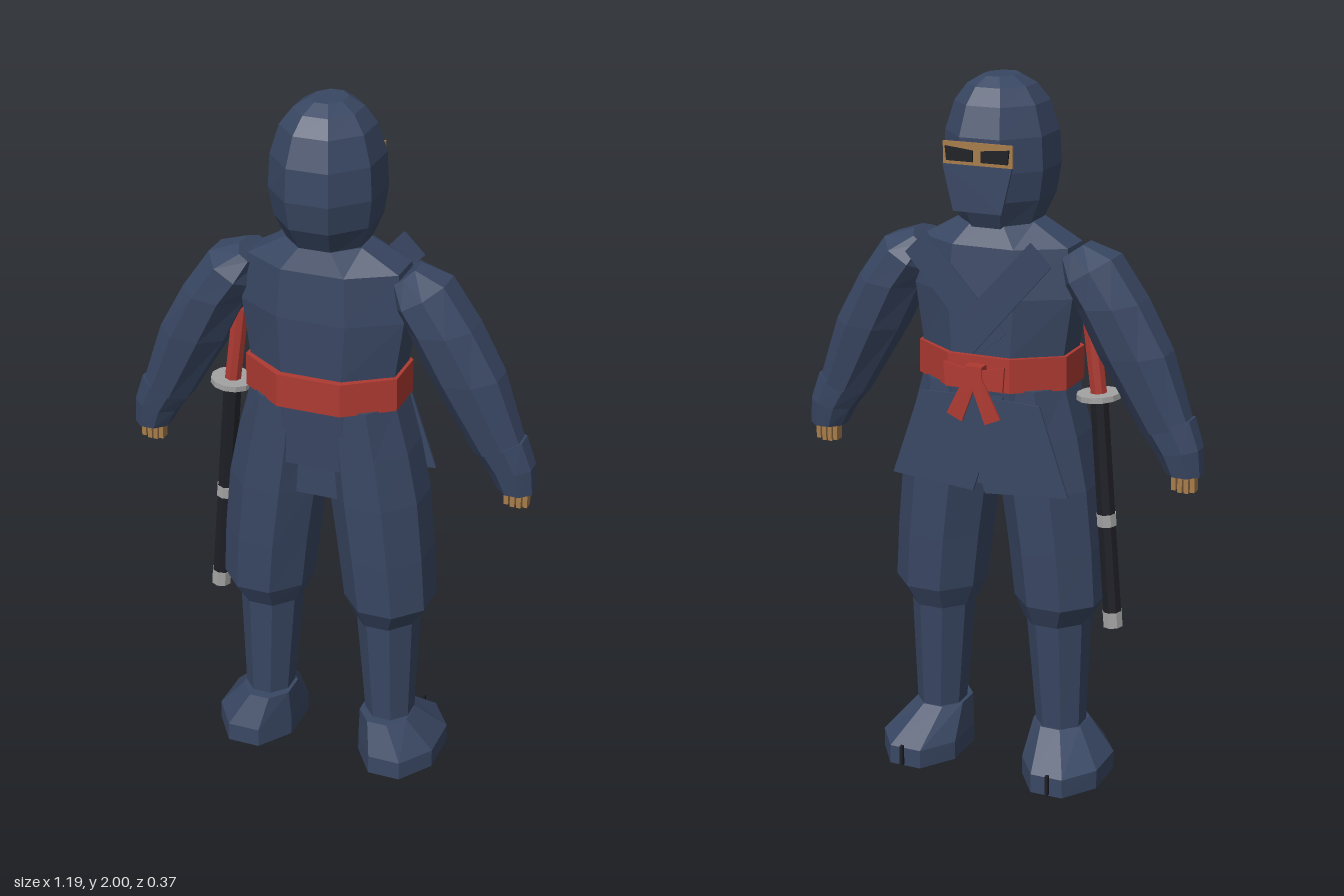
import * as THREE from 'three';

const mat = (name, color) => {
  const m = new THREE.MeshStandardMaterial({ color });
  m.name = name;
  return m;
};

export function createModel() {
  const root = new THREE.Group();
  const navy = mat('navy cloth', 0x394763);
  const red = mat('red sash', 0xae3a32);
  const tan = mat('skin', 0xa67c4a);
  const black = mat('black lacquer', 0x1e1f25);
  const silver = mat('silver metal', 0xa3a3a3);

  const add = (name, geo, material) => {
    const flat = geo.index ? geo.toNonIndexed() : geo;
    flat.computeVertexNormals();
    const mesh = new THREE.Mesh(flat, material);
    mesh.name = name;
    root.add(mesh);
    return mesh;
  };

  // Eight-sided loft, listed bottom to top.
  // Each ring is [x0, y0, x1, y1, z0, z1]; s = -1 mirrors it in x.
  const loft = (name, rings, material, s = 1) => {
    const N = 8, k = 1 / Math.cos(Math.PI / N), pos = [], idx = [];
    rings.forEach(([x0, y0, x1, y1, z0, z1]) => {
      const [p, q] = s > 0 ? [[x0, y0], [x1, y1]] : [[-x1, y1], [-x0, y0]];
      for (let j = 0; j < N; j++) {
        const a = (j + 0.5) / N * Math.PI * 2;
        const c = Math.cos(a) * k / 2, d = Math.sin(a) * k / 2;
        pos.push((p[0] + q[0]) / 2 + c * (q[0] - p[0]),
          (p[1] + q[1]) / 2 + c * (q[1] - p[1]), (z0 + z1) / 2 + d * (z1 - z0));
      }
    });
    const last = (rings.length - 1) * N;
    for (let i = 0; i < last; i += N) {
      for (let j = 0; j < N; j++) {
        const a = i + j, b = i + (j + 1) % N;
        idx.push(a, a + N, b, b, a + N, b + N);
      }
    }
    for (let j = 1; j < N - 1; j++) {
      idx.push(0, j, j + 1, last, last + j + 1, last + j);
    }
    const g = new THREE.BufferGeometry();
    g.setAttribute('position', new THREE.Float32BufferAttribute(pos, 3));
    g.setIndex(idx);
    return add(name, g, material);
  };
  // Ring symmetrical about x = 0
  const mid = ([y, hx, z0, z1]) => [-hx, y, hx, y, z0, z1];
  // Level ring
  const level = ([y, x0, x1, z0, z1]) => [x0, y, x1, y, z0, z1];

  // Thin plate cut from corner points, lying at depth z
  const plate = (name, pts, z, material, s = 1) => {
    const shape = new THREE.Shape(pts.map(([x, y]) => new THREE.Vector2(x * s, y)));
    const g = new THREE.ExtrudeGeometry(shape, { depth: 0.007, bevelEnabled: false });
    g.translate(0, 0, z);
    return add(name, g, material);
  };
  const box = (name, w, h, d, x, y, z, material) =>
    add(name, new THREE.BoxGeometry(w, h, d).translate(x, y, z), material);

  // Hooded head
  loft('hood', [
    [1.60, 0.10, -0.08, 0.12], [1.68, 0.133, -0.118, 0.17], [1.76, 0.145, -0.128, 0.185],
    [1.85, 0.14, -0.125, 0.18], [1.93, 0.117, -0.10, 0.155],
    [1.975, 0.085, -0.07, 0.12], [2.0, 0.045, -0.035, 0.08],
  ].map(mid), navy);
  plate('eyeOpening', [[-0.1, 1.78], [0.1, 1.78], [0.1, 1.84], [-0.1, 1.84]], -0.136, tan);
  for (const s of [1, -1]) {
    plate('eye', [[0.012, 1.79], [0.088, 1.79], [0.092, 1.828], [0.012, 1.82]], -0.142, black, s);
  }
  plate('faceMask', [[-0.07, 1.655], [0.07, 1.655], [0.1, 1.78], [-0.1, 1.78]], -0.14, navy)
    .material = navy;

  // Tunic and seat
  loft('tunic', [
    [0.98, 0.225, -0.11, 0.15], [1.165, 0.205, -0.12, 0.155], [1.26, 0.21, -0.12, 0.16],
    [1.42, 0.233, -0.12, 0.16], [1.555, 0.215, -0.105, 0.15], [1.615, 0.11, -0.075, 0.13],
  ].map(mid), navy);
  box('seat', 0.15, 0.13, 0.2, 0, 0.94, 0.02, navy);

  // Sash, bow and tails
  loft('sash', [[1.165, 0.22, -0.135, 0.18], [1.26, 0.22, -0.135, 0.18]].map(mid), red);
  box('knot', 0.05, 0.06, 0.035, 0, 1.21, -0.152, red);
  for (const s of [1, -1]) {
    plate('bowLoop', [[0, 1.195], [0.085, 1.175], [0.09, 1.245], [0, 1.225]], -0.166, red, s);
    plate('sashTail', [[-0.01, 1.2], [0.035, 1.08], [0.08, 1.1], [0.025, 1.21]], -0.17 + s * 0.002, red, s);
  }

  for (const s of [1, -1]) {
    // Crossed collar bands and hip flaps
    plate('collarBand', [[0.155, 1.59], [-0.08, 1.33], [-0.01, 1.27], [0.215, 1.53]],
      -0.142 + s * 0.005, navy, s);
    plate('hipFlap', [[0.18, 1.14], [-0.07, 1.15], [0.02, 0.87], [0.265, 0.89]],
      -0.133 + s * 0.004, navy, s);

    // Sleeve and gloved hand
    loft('sleeve', [
      [0.425, 1.06, 0.555, 1.10, -0.045, 0.085], [0.30, 1.27, 0.49, 1.285, -0.075, 0.115],
      [0.235, 1.40, 0.415, 1.42, -0.085, 0.125], [0.20, 1.45, 0.335, 1.535, -0.08, 0.12],
      [0.19, 1.52, 0.25, 1.565, -0.05, 0.09],
    ], navy, s);
    loft('handGuard', [
      [0.495, 0.955, 0.593, 0.955, -0.03, 0.065], [0.465, 1.01, 0.588, 1.03, -0.04, 0.075],
      [0.42, 1.07, 0.56, 1.11, -0.045, 0.085],
    ], navy, s);
    for (let i = 0; i < 4; i++) {
      box('finger', 0.013, 0.055, 0.03, s * (0.518 + i * 0.018), 0.935 - (i % 3 ? 0.005 : 0), 0.015, tan);
    }

    // Baggy trousers, shin wrap and shoe
    loft('trouserLeg', [
      [0.475, 0.09, 0.265, -0.08, 0.115], [0.54, 0.065, 0.306, -0.11, 0.15],
      [0.70, 0.047, 0.297, -0.115, 0.158], [0.88, 0.022, 0.28, -0.12, 0.16],
      [1.03, 0.01, 0.25, -0.115, 0.155], [1.17, 0.01, 0.212, -0.11, 0.15],
    ].map(level), navy, s);
    loft('shinWrap', [
      [0.13, 0.125, 0.255, -0.05, 0.09], [0.49, 0.095, 0.265, -0.072, 0.108],
    ].map(level), navy, s);
    loft('shoe', [
      [0, 0.107, 0.337, -0.17, 0.16], [0.055, 0.107, 0.337, -0.168, 0.158],
      [0.15, 0.113, 0.258, -0.055, 0.12],
    ].map(level), navy, s);
    box('toeSplit', 0.009, 0.06, 0.012, s * 0.228, 0.036, -0.178, black);
  }

  // Sheathed sword hanging beside the right hip
  const rod = (name, r, from, to, material, sides = 8) => {
    const a = new THREE.Vector3(...from), b = new THREE.Vector3(...to);
    const dir = b.clone().sub(a);
    const mesh = add(name, new THREE.CylinderGeometry(r, r, dir.length(), sides), material);
    mesh.position.copy(a).add(b).multiplyScalar(0.5);
    mesh.quaternion.setFromUnitVectors(new THREE.Vector3(0, 1, 0), dir.normalize());
  };
  const at = (y, z = 0.03) => [-0.287 - (1.14 - y) * 0.079, y, z];
  rod('swordGrip', 0.024, at(1.145), [-0.258, 1.37, 0.03], red);
  rod('swordGuard', 0.062, at(1.132), at(1.148), silver, 12);
  rod('scabbard', 0.027, at(0.5), at(1.135), black);
  rod('scabbardBand', 0.029, at(0.765), at(0.8), silver);
  rod('scabbardTip', 0.029, at(0.465), at(0.51), silver);

  return root;
}
